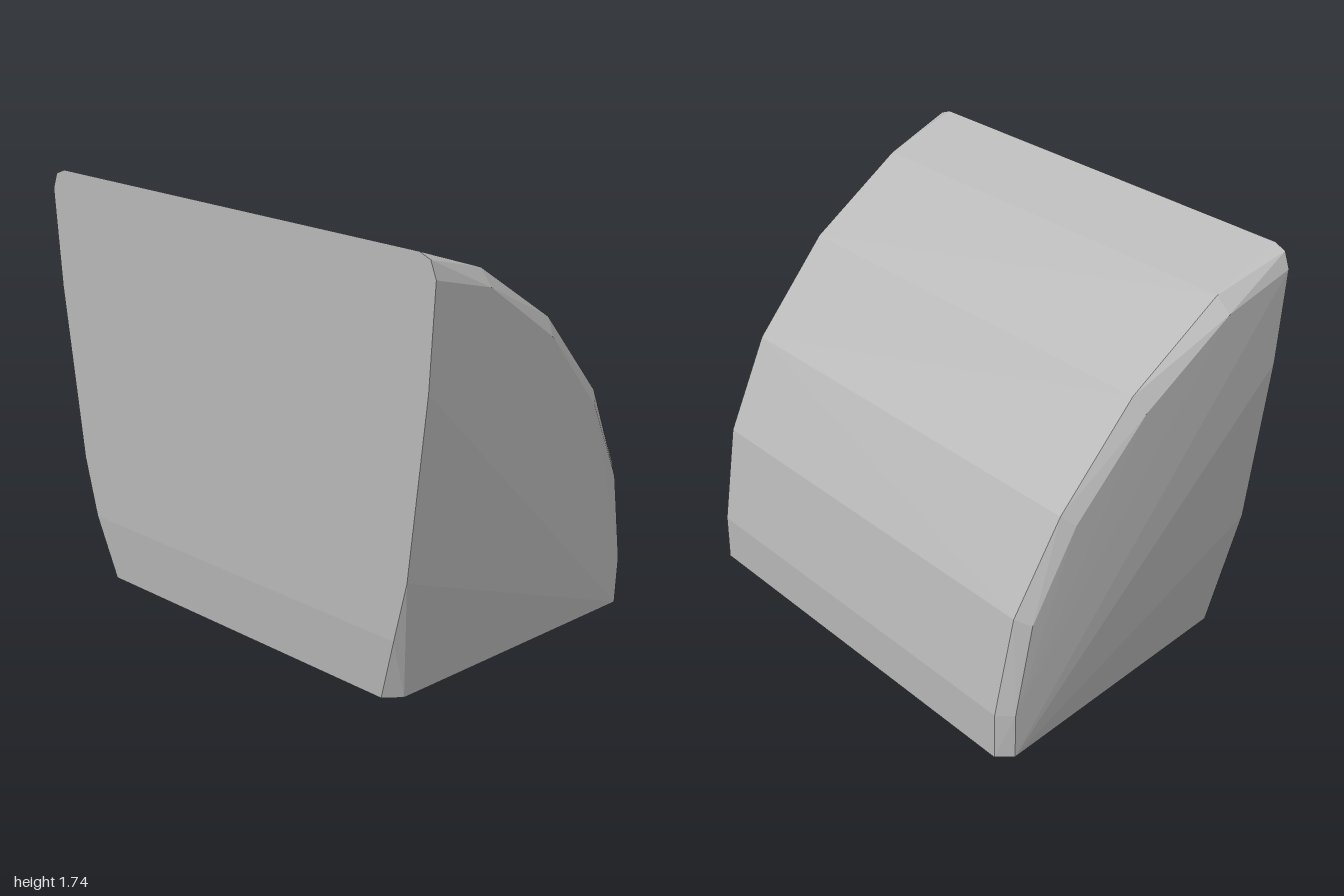
import * as THREE from 'three';
import { ConvexGeometry } from 'three/addons/geometries/ConvexGeometry.js';

export function createModel() {
  const group = new THREE.Group();
  const grey = new THREE.MeshStandardMaterial({ color: 0xb8b8b8 });
  grey.name = 'plain grey';

  // Half of the faceted block: [x, y, z], mirrored to both sides
  const half = [
    // base corners, front then back
    [0.75, 0, 0.64], [0.81, 0, 0.58], [0.93, 0, -0.6], [0.88, 0, -0.66],
    // flat front, bowing out towards the top
    [0.83, 0.27, 0.665], [0.89, 0.52, 0.665], [0.975, 1.25, 0.665],
    [1, 1.65, 0.665], [0.975, 1.715, 0.665], [0.925, 1.735, 0.665],
    // edges of the curved back, from top to bottom
    [0.935, 1.62, 0.35], [0.93, 1.35, -0.06], [0.92, 0.98, -0.39],
    [0.895, 0.61, -0.585], [0.88, 0.2, -0.66],
    // outer side of the chamfer
    [0.992, 1.56, 0.36], [0.975, 1.29, -0.03], [0.957, 0.94, -0.345],
    [0.942, 0.58, -0.535], [0.935, 0.2, -0.605],
  ];
  const points = half.flatMap(([x, y, z]) =>
    [1, -1].map((side) => new THREE.Vector3(side * x, y, z)));

  const block = new THREE.Mesh(new ConvexGeometry(points), grey);
  block.name = 'curvedBlock';
  group.add(block);
  return group;
}
